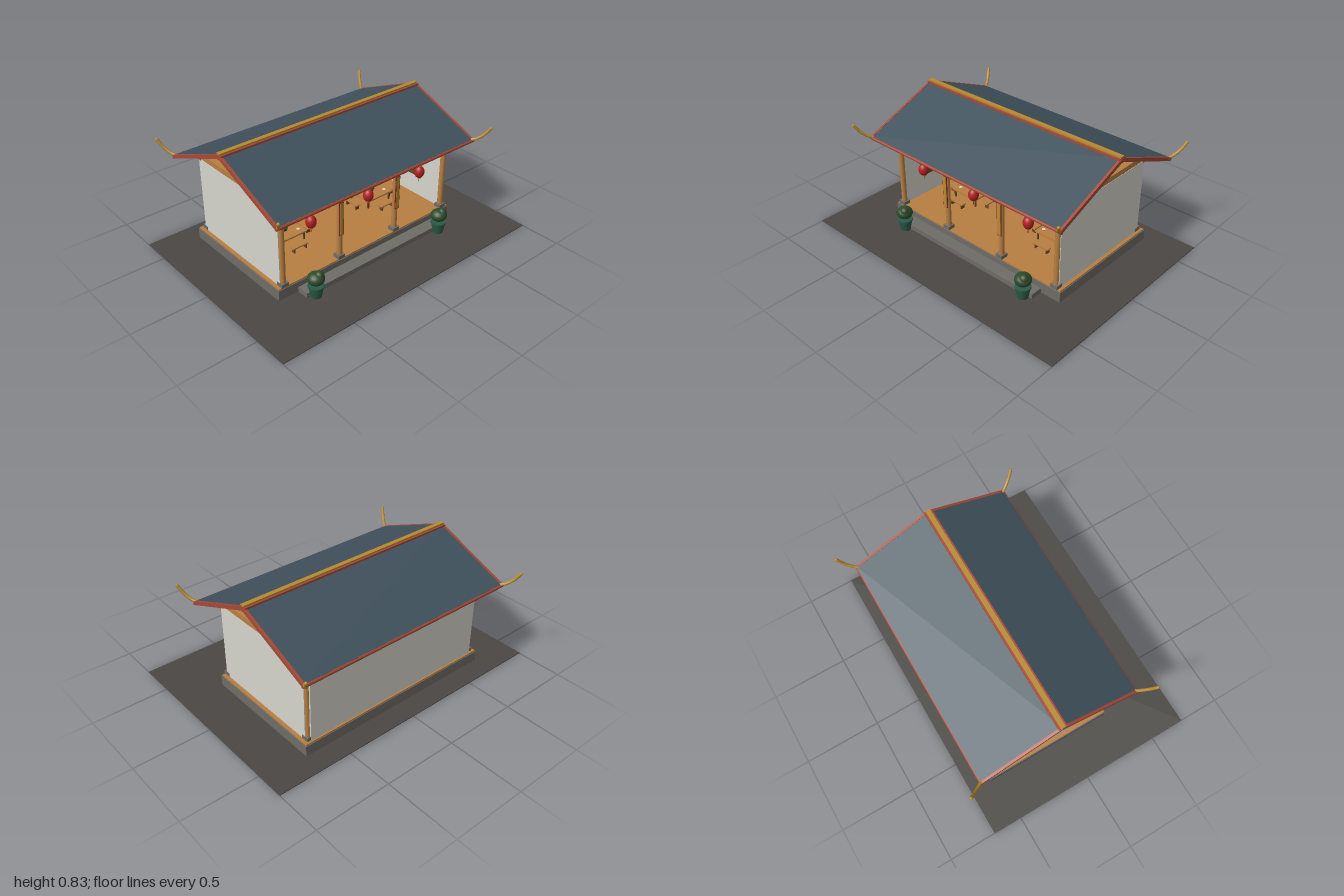
import * as THREE from 'three';

const mat = (color) => new THREE.MeshStandardMaterial({ color });
const M = {
  ground: mat(0x4a4744), stone: mat(0x6e6c67), wood: mat(0xb87f42), darkWood: mat(0x6b4425),
  wall: mat(0xd6d4cc), roof: mat(0x40515c), trim: mat(0xa54a38), gold: mat(0xb88a30),
  red: mat(0xb52020), panel: mat(0x8c2226), pot: mat(0x2b5a48), leaf: mat(0x2f4a2a),
  dark: mat(0x333333), cream: mat(0xe0d6bc),
};
const ZC = -0.11; // ridge line

export function createModel() {
  const root = new THREE.Group();
  const add = (name, geo, m, x = 0, y = 0, z = 0, parent = root) => {
    const mesh = new THREE.Mesh(geo, m);
    mesh.name = name;
    mesh.position.set(x, y, z);
    parent.add(mesh);
    return mesh;
  };
  // box given by its bottom height
  const box = (name, m, w, h, d, x, y0, z, parent) =>
    add(name, new THREE.BoxGeometry(w, h, d), m, x, y0 + h / 2, z, parent);
  const cyl = (name, m, rt, rb, h, x, y0, z, parent, n = 16) =>
    add(name, new THREE.CylinderGeometry(rt, rb, h, n), m, x, y0 + h / 2, z, parent);
  // square bar between two points in a plane of constant x
  const bar = (name, m, w, t, x, y1, z1, y2, z2) => {
    const b = add(name, new THREE.BoxGeometry(w, t, Math.hypot(y2 - y1, z2 - z1)), m, x, (y1 + y2) / 2, (z1 + z2) / 2);
    b.rotation.x = -Math.atan2(y2 - y1, z2 - z1);
    return b;
  };
  const group = (name, x, y, z) => {
    const g = new THREE.Group();
    g.name = name;
    g.position.set(x, y, z);
    root.add(g);
    return g;
  };

  // base
  box('ground', M.ground, 2, 0.005, 1.42, 0, 0, 0.02);
  box('platform', M.stone, 1.42, 0.07, 0.86, 0, 0.005, -0.12);
  box('floor', M.wood, 1.41, 0.008, 0.85, 0, 0.075, -0.12);
  box('step', M.stone, 1.14, 0.032, 0.085, 0, 0.005, 0.35);

  // walls
  box('backWall', M.wall, 1.32, 0.517, 0.022, 0, 0.083, -0.522);
  for (const s of [-1, 1]) {
    box('sideWall', M.wall, 0.028, 0.517, 0.79, s * 0.668, 0.083, ZC);
    box('wallPanel', M.darkWood, 0.01, 0.2, 0.38, s * 0.65, 0.23, ZC);
    box('sideBeam', M.wood, 0.04, 0.04, 0.76, s * 0.66, 0.595, ZC);
  }

  // columns, beams and eave brackets
  for (const z of [0.285, -0.505]) {
    box('longBeam', M.wood, 1.38, 0.04, 0.048, 0, 0.595, z);
    for (const x of z > 0 ? [-0.66, -0.23, 0.23, 0.66] : [-0.66, 0.66]) {
      cyl('column', M.wood, 0.018, 0.018, 0.517, x, 0.083, z);
      box('columnBase', M.stone, 0.05, 0.024, 0.05, x, 0.083, z);
      if (z < 0) continue;
      bar('bracketArm', M.wood, 0.02, 0.014, x, 0.592, 0.29, 0.592, 0.4);
      bar('bracketBrace', M.wood, 0.016, 0.012, x, 0.525, 0.295, 0.59, 0.375);
    }
  }
  for (const x of [-0.23, 0.23]) {
    box('columnBoard', M.panel, 0.034, 0.23, 0.006, x, 0.25, 0.304);
    box('columnBoardFace', M.gold, 0.026, 0.22, 0.004, x, 0.255, 0.307);
  }

  // roof slopes with trim, and a horn at each corner
  for (const s of [-1, 1]) {
    const ze = ZC + s * 0.525;
    bar('roofSlope', M.roof, 1.55, 0.016, 0, 0.595, ze, 0.81, ZC);
    const eave = add('eaveRail', new THREE.CylinderGeometry(0.012, 0.012, 1.57, 10), M.trim, 0, 0.59, ze);
    eave.rotation.z = Math.PI / 2;
    for (const t of [-1, 1]) {
      bar('gableTrim', M.trim, 0.016, 0.024, t * 0.775, 0.592, ze, 0.808, ZC);
      const p = (x, y, dz) => new THREE.Vector3(t * x, y, ze + s * dz);
      const curve = new THREE.CatmullRomCurve3([
        p(0.765, 0.595, -0.01), p(0.787, 0.61, 0.025), p(0.812, 0.645, 0.063), p(0.834, 0.693, 0.094)]);
      add('cornerHorn', new THREE.TubeGeometry(curve, 14, 0.01, 8), M.gold);
      add('hornTip', new THREE.SphereGeometry(0.01, 8, 6), M.gold, t * 0.834, 0.693, ze + s * 0.094);
    }
  }
  box('ridgeBeam', M.trim, 1.56, 0.034, 0.054, 0, 0.786, ZC);
  box('ridgeCap', M.gold, 1.56, 0.012, 0.03, 0, 0.818, ZC);

  // sign over the entrance
  box('signFrame', M.darkWood, 0.36, 0.062, 0.012, 0, 0.52, 0.275);
  box('signFace', M.panel, 0.34, 0.048, 0.004, 0, 0.527, 0.283);

  // hanging lanterns
  for (const x of [-0.445, 0, 0.44]) {
    const g = group('lantern', x, 0.43, 0.285);
    add('lanternBody', new THREE.SphereGeometry(0.033, 20, 14), M.red, 0, 0, 0, g).scale.y = 1.28;
    cyl('lanternTop', M.gold, 0.012, 0.012, 0.008, 0, 0.038, 0, g);
    cyl('lanternBottom', M.gold, 0.012, 0.012, 0.008, 0, -0.046, 0, g);
    cyl('lanternCord', M.dark, 0.0015, 0.0015, 0.125, 0, 0.042, 0, g, 6);
    cyl('lanternTassel', M.red, 0.002, 0.003, 0.026, 0, -0.07, 0, g, 6);
  }

  // serving counter
  box('counter', M.wood, 0.4, 0.16, 0.1, 0, 0.083, -0.3);
  box('counterTop', M.wood, 0.42, 0.01, 0.12, 0, 0.243, -0.3);
  for (const x of [-0.085, 0.085]) box('counterPanel', M.panel, 0.145, 0.06, 0.006, x, 0.175, -0.249);

  // shelf with bottles
  for (const x of [-0.187, 0.187]) box('shelfPost', M.darkWood, 0.008, 0.367, 0.06, x, 0.083, -0.48);
  for (const y of [0.25, 0.345, 0.445]) box('shelfBoard', M.darkWood, 0.38, 0.007, 0.06, 0, y, -0.48);
  [[-0.115, M.red], [0, M.pot], [0.11, M.cream]].forEach(([x, m]) => {
    const pts = [[0, 0], [0.012, 0], [0.013, 0.025], [0.006, 0.036], [0.006, 0.048], [0, 0.048]];
    add('bottle', new THREE.LatheGeometry(pts.map((q) => new THREE.Vector2(...q)), 14), m, x, 0.352, -0.475);
  });

  // tables with a cooking pot and four benches
  for (const x of [-0.37, 0.37]) {
    const g = group('tableSet', x, 0.083, -0.09);
    box('tableTop', M.wood, 0.22, 0.01, 0.2, 0, 0.055, 0, g);
    for (const a of [-1, 1]) for (const b of [-1, 1])
      box('tableLeg', M.darkWood, 0.01, 0.055, 0.01, a * 0.095, 0, b * 0.085, g);
    cyl('cookingPot', M.dark, 0.028, 0.022, 0.014, 0, 0.065, 0, g);
    add('potLid', new THREE.SphereGeometry(0.01, 10, 8), M.stone, 0, 0.083, 0, g);
    for (const [bx, bz] of [[-0.07, -0.06], [0.07, -0.06], [-0.07, 0.06], [0.07, 0.06]])
      cyl('bowl', M.cream, 0.012, 0.007, 0.008, bx, 0.065, bz, g, 12);
    for (let i = 0; i < 4; i++) {
      const bench = new THREE.Group();
      bench.name = 'bench';
      bench.rotation.y = i * Math.PI / 2;
      g.add(bench);
      box('benchSeat', M.wood, 0.12, 0.008, 0.035, 0, 0.03, 0.16, bench);
      for (const s of [-1, 1]) box('benchLeg', M.darkWood, 0.008, 0.03, 0.028, s * 0.045, 0, 0.16, bench);
    }
  }

  // potted shrubs
  for (const x of [-0.515, 0.515]) {
    const g = group('pottedShrub', x, 0.005, 0.41);
    cyl('planter', M.pot, 0.046, 0.034, 0.072, 0, 0, 0, g, 20);
    cyl('planterRim', M.pot, 0.05, 0.05, 0.01, 0, 0.07, 0, g, 20);
    cyl('stem', M.darkWood, 0.01, 0.01, 0.03, 0, 0.078, 0, g, 8);
    add('foliage', new THREE.SphereGeometry(0.053, 18, 14), M.leaf, 0, 0.127, 0, g).scale.y = 0.78;
    add('topFoliage', new THREE.SphereGeometry(0.03, 14, 10), M.leaf, 0.016, 0.147, 0.012, g);
  }
  return root;
}
